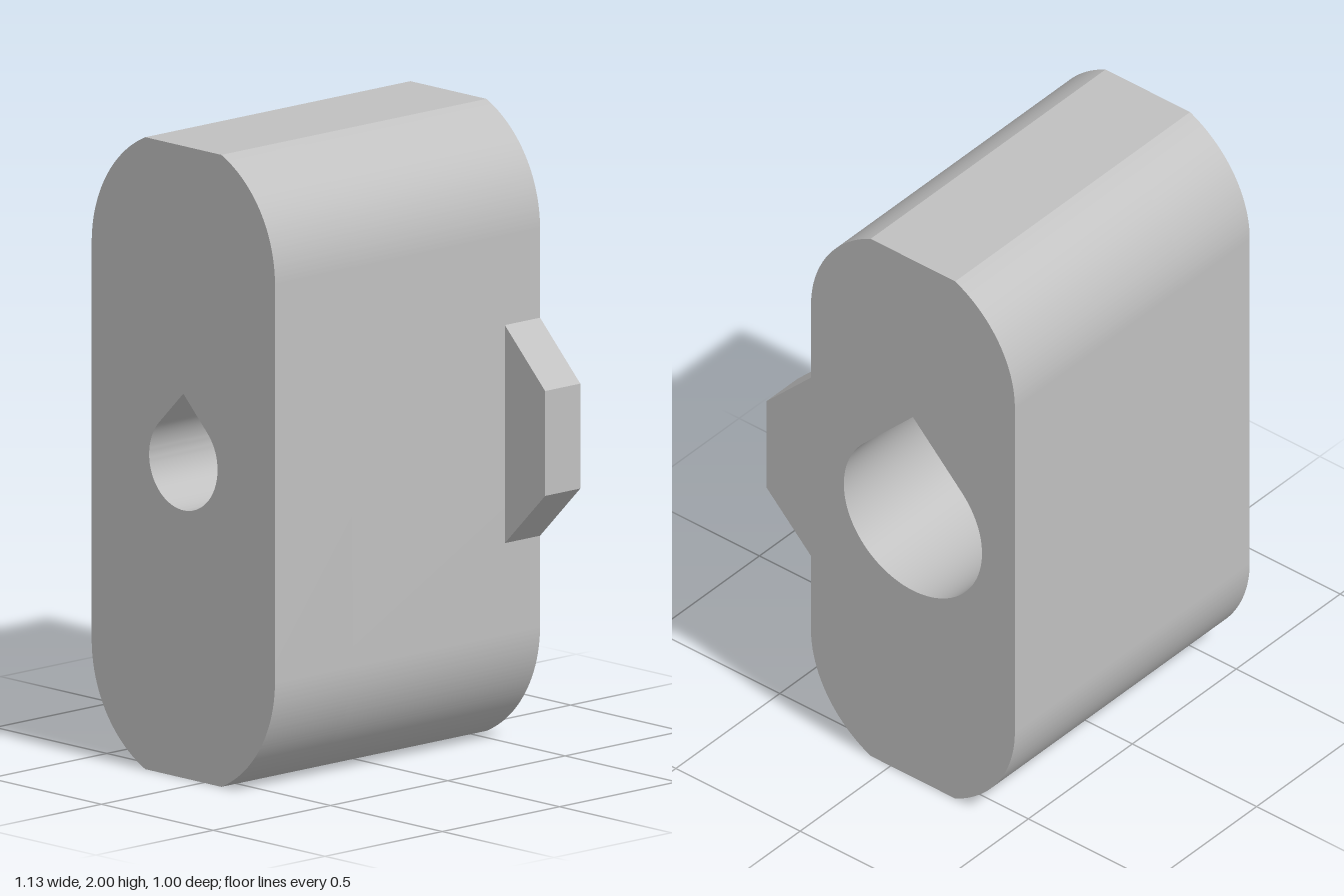
import * as THREE from 'three';
import { toCreasedNormals } from 'three/addons/utils/BufferGeometryUtils.js';

const HALF = 0.565;   // half the length along x
const STEP = -0.235;  // where the wide bore meets the narrow one
const MID = 0.09;     // centre of the body; profile coordinates are (-z, y)

// Rounded ends made from circles cut flat at y = 0 and y = 2
function bodyOutline() {
  const r = 0.41, rise = 0.627, a = Math.acos(0.17 / r);
  const s = new THREE.Shape();
  s.absarc(MID, 1 + rise, r, 0, a, false);
  s.absarc(MID, 1 + rise, r, Math.PI - a, Math.PI, false);
  s.absarc(MID, 1 - rise, r, Math.PI, Math.PI + a, false);
  s.absarc(MID, 1 - rise, r, 2 * Math.PI - a, 2 * Math.PI, false);
  s.closePath();
  return s;
}

// Circle with a 45 degree peak on top
function teardrop(r) {
  const p = new THREE.Path();
  p.absarc(MID, 1, r, 0.75 * Math.PI, 0.25 * Math.PI, false);
  p.lineTo(MID, 1 + r * Math.SQRT2);
  p.closePath();
  return p;
}

// Extrudes a profile along x from x0 to x1
function prism(name, shape, x0, x1, material) {
  const g = new THREE.ExtrudeGeometry(shape, { depth: x1 - x0, bevelEnabled: false, curveSegments: 36 });
  g.rotateY(Math.PI / 2);
  g.translate(x0, 0, 0);
  const mesh = new THREE.Mesh(toCreasedNormals(g, 0.3), material);
  mesh.name = name;
  return mesh;
}

export function createModel() {
  const group = new THREE.Group();
  group.name = 'clampBlock';
  const grey = new THREE.MeshStandardMaterial({ color: 0xc0c0c0 });
  grey.name = 'plain grey';

  // Body: wide bore on the +x side, narrow bore through the rest
  const wide = bodyOutline();
  wide.holes.push(teardrop(0.278));
  const narrow = bodyOutline();
  narrow.holes.push(teardrop(0.153));
  group.add(prism('wideBoreBody', wide, STEP, HALF, grey));
  group.add(prism('narrowBoreBody', narrow, -HALF, STEP, grey));

  // Tapered tab on the front, flush with the +x face
  const tab = new THREE.Shape([
    [-0.32, 0.657], [-0.32, 1.347], [-0.5, 1.168], [-0.5, 0.836],
  ].map(([u, v]) => new THREE.Vector2(u, v)));
  group.add(prism('tab', tab, 0.415, HALF, grey));

  return group;
}
